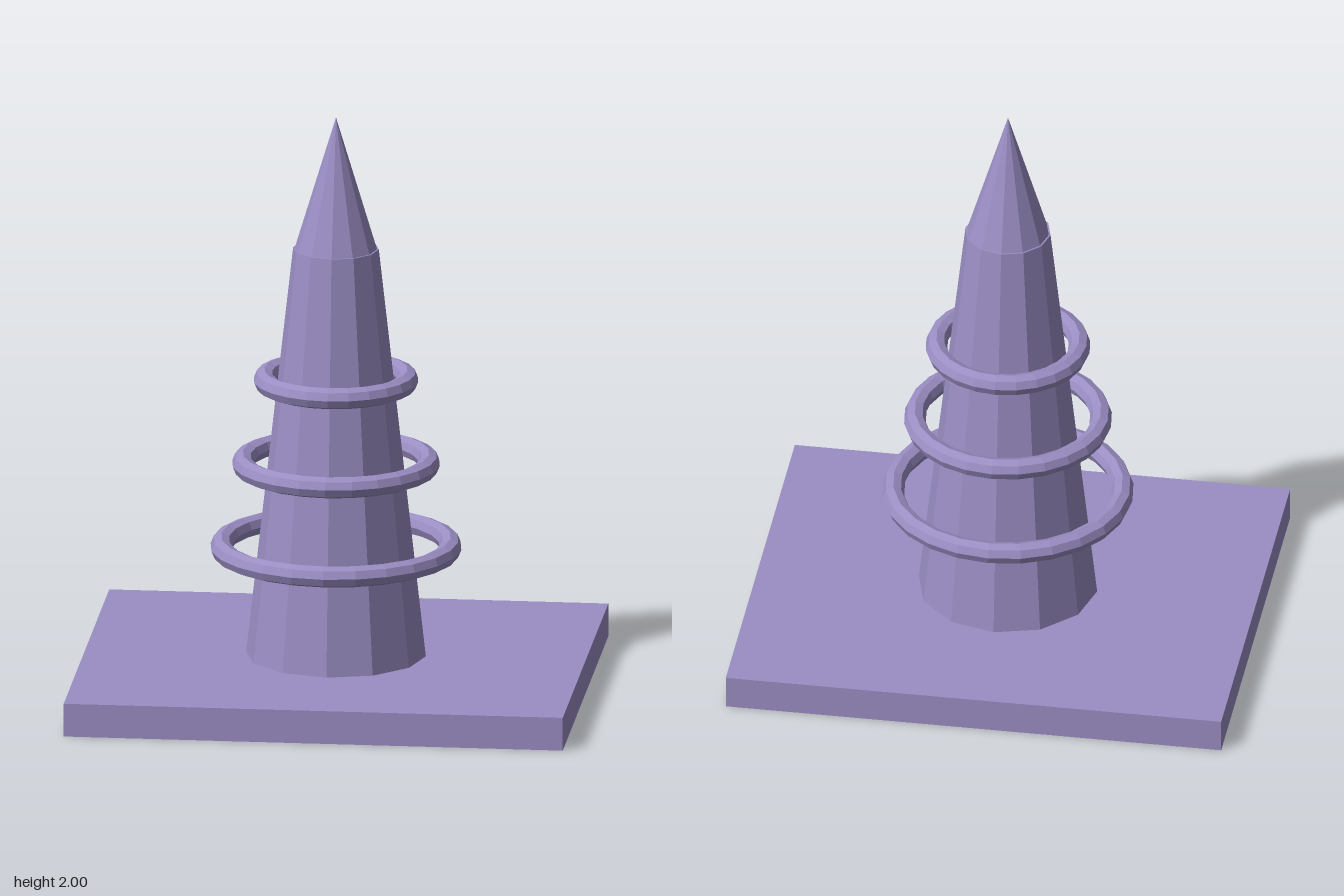
import * as THREE from 'three';

export function createModel() {
  const group = new THREE.Group();
  const lilac = new THREE.MeshStandardMaterial({ color: 0x9b8ec4, flatShading: true });
  lilac.name = 'lilac';

  const add = (name, geometry, y) => {
    const mesh = new THREE.Mesh(geometry, lilac);
    mesh.name = name;
    mesh.position.y = y;
    group.add(mesh);
    return mesh;
  };

  // Rectangular base slab
  const baseTop = 0.115;
  add('base', new THREE.BoxGeometry(1.7, baseTop, 1.46), baseTop / 2);

  // Tapered twelve-sided tower and its pointed cap
  const towerTop = 1.54;
  const towerHeight = towerTop - baseTop;
  add('tower', new THREE.CylinderGeometry(0.146, 0.306, towerHeight, 12), baseTop + towerHeight / 2);
  add('spire', new THREE.ConeGeometry(0.14, 2 - towerTop, 12), (2 + towerTop) / 2);

  // Three floating rings, shrinking upwards
  for (let i = 0; i < 3; i++) {
    const ring = new THREE.TorusGeometry(0.39 - i * 0.0735, 0.037, 8, 24).rotateX(-Math.PI / 2);
    add('ring' + (i + 1), ring, 0.492 + i * 0.293);
  }

  return group;
}
